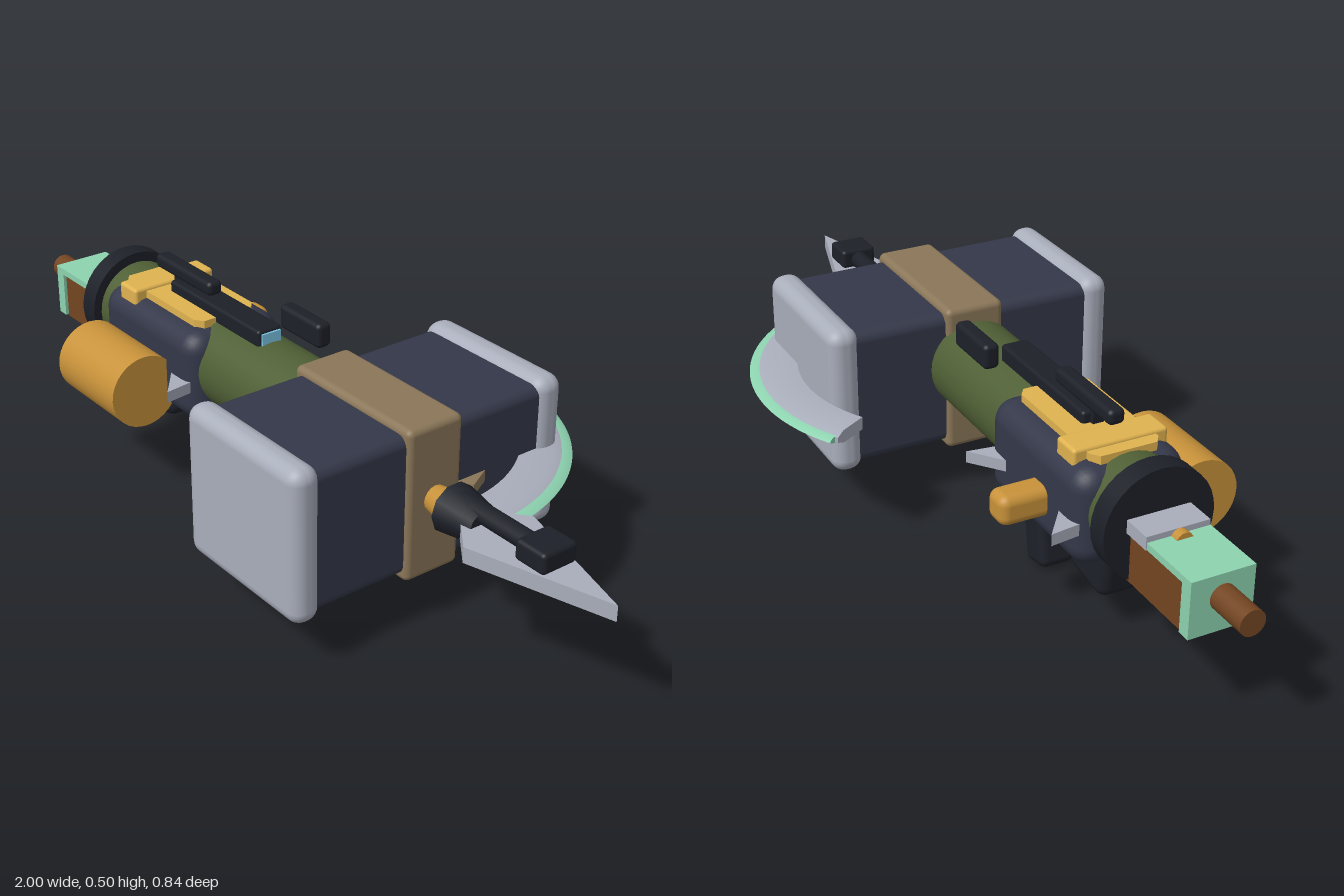
import * as THREE from 'three';
import { RoundedBoxGeometry } from 'three/addons/geometries/RoundedBoxGeometry.js';
import { toCreasedNormals } from 'three/addons/utils/BufferGeometryUtils.js';

const C = {
  navy: 0x343849, black: 0x1d2028, steel: 0xa9aebb, tan: 0x8b7759, green: 0x4f5f35,
  gold: 0xc8923a, yellow: 0xe0b350, brown: 0x734522, mint: 0x8dd3b0, red: 0xb32a22, lens: 0x7cc8e8,
};
const mats = {};
for (const k in C) mats[k] = new THREE.MeshStandardMaterial({ color: C[k], side: THREE.DoubleSide });

const AXIS = 0.065; // z of the long axis

export function createModel() {
  const model = new THREE.Group();
  const add = (name, geo, color, x = 0, y = 0, z = 0) => {
    const m = new THREE.Mesh(geo, mats[color]);
    m.name = name;
    m.position.set(x, y, z);
    model.add(m);
    return m;
  };
  // Box given by its limits, with optional rounded edges
  const box = (name, color, [x0, x1], [y0, y1], [z0, z1], r = 0) => {
    const s = [x1 - x0, y1 - y0, z1 - z0];
    const geo = r ? new RoundedBoxGeometry(...s, 3, r) : new THREE.BoxGeometry(...s);
    return add(name, geo, color, (x0 + x1) / 2, (y0 + y1) / 2, (z0 + z1) / 2);
  };
  // Cylinder along x, from radius r0 at x0 to r1 at x1
  const rod = (name, color, x0, x1, r0, r1, y, z = AXIS, sides = 32) => {
    const geo = new THREE.CylinderGeometry(r1, r0, x1 - x0, sides);
    geo.rotateZ(-Math.PI / 2);
    return add(name, geo, color, (x0 + x1) / 2, y, z);
  };
  // Flat plate: outline in x,z raised from y0 to y1
  const plate = (name, color, pts, y0, y1) => {
    const shape = new THREE.Shape(pts.map(([x, z]) => new THREE.Vector2(x, -z)));
    const geo = new THREE.ExtrudeGeometry(shape, { depth: y1 - y0, bevelEnabled: false });
    geo.rotateX(-Math.PI / 2);
    return add(name, geo, color, 0, y0, 0);
  };

  // Hammer head
  box('headBlock', 'navy', [0.12, 0.48], [0.135, 0.46], [-0.25, 0.38], 0.025);
  box('headBand', 'tan', [0.11, 0.49], [0.12, 0.475], [-0.005, 0.138], 0.015);
  box('frontStrikingCap', 'steel', [0.11, 0.49], [0.12, 0.475], [0.35, 0.42], 0.032);
  box('backStrikingCap', 'steel', [0.11, 0.49], [0.12, 0.475], [-0.288, -0.215], 0.032);

  // Barrel, muzzle ring and wooden underside
  rod('barrel', 'green', -0.66, 0.13, 0.106, 0.106, 0.33);
  rod('barrelRing', 'black', -0.68, -0.63, 0.127, 0.127, 0.333);
  rod('underRod', 'brown', -0.2, 0.13, 0.03, 0.03, 0.248, AXIS, 16);
  box('underClip', 'steel', [-0.04, -0.02], [0.23, 0.28], [0.12, 0.16]);

  // Receiver housing
  box('housing', 'navy', [-0.595, -0.2], [0.2, 0.425], [-0.065, 0.192], 0.05);
  for (const sx of [-1, 1]) for (const sz of [-1, 1]) {
    const p = (x, z) => [-0.4 + sx * x, AXIS + sz * z];
    plate('housingSpike', 'steel', [p(0.185, 0.187), p(0.175, 0.11), p(0.1, 0.12)], 0.283, 0.31);
  }

  // Yellow top plate with its cross tab
  plate('topPlate', 'yellow', [[-0.56, 0.0], [-0.54, -0.015], [-0.26, -0.015], [-0.24, 0.0],
    [-0.24, 0.13], [-0.26, 0.145], [-0.54, 0.145], [-0.56, 0.13]], 0.415, 0.442);
  box('topPlateTab', 'yellow', [-0.53, -0.46], [0.405, 0.45], [-0.045, 0.175], 0.008);

  // Sights
  box('sightRail', 'black', [-0.43, -0.075], [0.425, 0.468], [0.033, 0.098], 0.008);
  box('sightPost', 'black', [-0.44, -0.36], [0.44, 0.49], [0.052, 0.078]);
  box('scope', 'black', [-0.512, -0.285], [0.47, 0.505], [0.046, 0.085], 0.012);
  box('sightLens', 'lens', [-0.082, -0.07], [0.432, 0.46], [0.04, 0.09]);
  box('sideSight', 'black', [-0.122, 0.025], [0.435, 0.494], [-0.03, 0.008], 0.012);

  // Drum on the front and bolt handle on the back
  rod('drum', 'gold', -0.55, -0.31, 0.088, 0.088, 0.272, 0.252);
  box('boltHandle', 'gold', [-0.467, -0.398], [0.265, 0.335], [-0.17, 0], 0.022);

  // Grips and trigger
  box('mainGrip', 'black', [-0.28, -0.2], [0.005, 0.25], [0.022, 0.108], 0.02).rotation.z = -0.17;
  box('rearGrip', 'black', [-0.57, -0.43], [0.1, 0.28], [0.012, 0.118], 0.025).rotation.z = 0.15;
  box('foreGrip', 'black', [-0.115, -0.05], [0.14, 0.255], [0.03, 0.1], 0.015);
  box('triggerGuard', 'black', [-0.21, -0.1], [0.215, 0.25], [0.02, 0.11], 0.01);
  box('trigger', 'red', [-0.2, -0.175], [0.225, 0.285], [0.01, 0.12]);

  // Tail block with its shell and end rod
  box('tailBlock', 'brown', [-0.875, -0.66], [0.22, 0.337], [0, 0.128]);
  box('tailTopShell', 'mint', [-0.903, -0.75], [0.336, 0.352], [-0.008, 0.136]);
  box('tailEndShell', 'mint', [-0.903, -0.873], [0.224, 0.338], [-0.008, 0.136]);
  box('tailBracket', 'steel', [-0.75, -0.67], [0.335, 0.365], [-0.01, 0.135]);
  rod('tailPin', 'gold', -0.77, -0.74, 0.02, 0.02, 0.345, AXIS, 16);
  rod('tailRod', 'brown', -1, -0.89, 0.029, 0.029, 0.3, AXIS, 20);

  // Front spike with its collar and shaft
  rod('spikeSocket', 'gold', 0.48, 0.55, 0.028, 0.04, 0.302, AXIS, 16);
  rod('spikeCollar', 'black', 0.545, 0.64, 0.058, 0.042, 0.305, AXIS, 10);
  rod('spikeShaft', 'black', 0.55, 0.8, 0.022, 0.022, 0.335, AXIS, 10);
  box('spikeClamp', 'black', [0.768, 0.85], [0.315, 0.363], [0.02, 0.11], 0.01);
  plate('spikeBlade', 'steel', [[0.56, 0.065], [0.68, 0.158], [1, 0.065], [0.68, -0.028]], 0.28, 0.316);

  // Crescent blade: closed profiles swept around an arc, with end faces
  const arc = (name, color, profile, from, to) => {
    const pts = profile.map(([r, y]) => new THREE.Vector2(r, y));
    const geo = new THREE.LatheGeometry([...pts, pts[0]], 48, from, to - from);
    const crescent = new THREE.Group();
    crescent.name = name;
    crescent.position.set(0.2, 0.299, 0.045);
    crescent.add(new THREE.Mesh(toCreasedNormals(geo, 0.4), mats[color]));
    for (const phi of [from, to]) {
      const end = new THREE.Mesh(new THREE.ShapeGeometry(new THREE.Shape(pts)), mats[color]);
      end.rotation.y = phi - Math.PI / 2;
      crescent.add(end);
    }
    crescent.children.forEach((m) => { m.name = name + 'Part'; });
    model.add(crescent);
  };
  const deg = Math.PI / 180;
  arc('crescentBlade', 'steel', [[0.355, -0.015], [0.425, -0.015], [0.447, -0.006],
    [0.447, 0.006], [0.425, 0.015], [0.355, 0.015]], 95 * deg, 211 * deg);
  arc('crescentEdge', 'mint', [[0.44, -0.008], [0.455, -0.006], [0.466, 0], [0.455, 0.006],
    [0.44, 0.008]], 97 * deg, 210 * deg);
  plate('crescentBracket', 'tan', [[0.46, -0.09], [0.48, -0.08], [0.512, -0.02], [0.46, 0.01]], 0.285, 0.312);

  return model;
}
